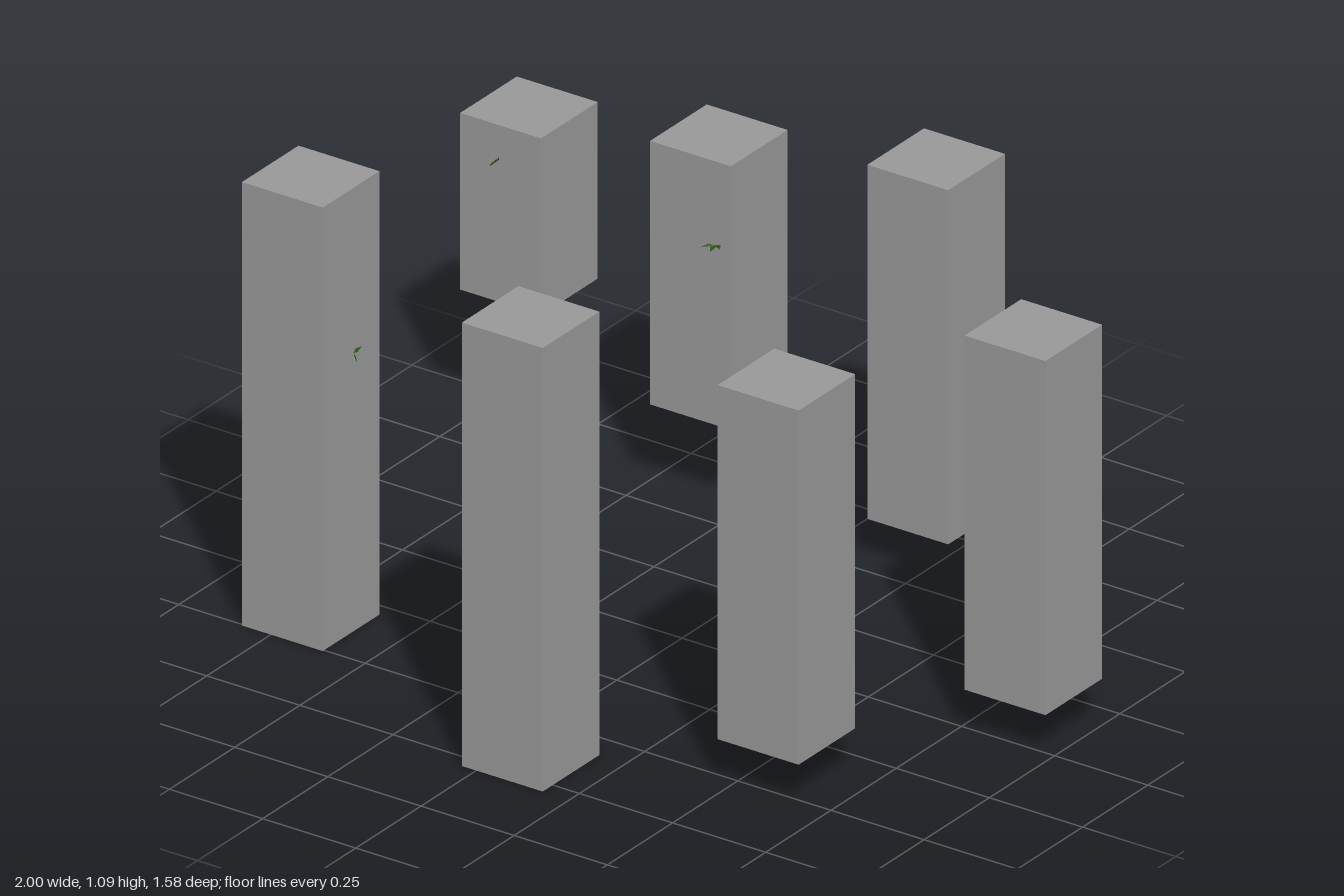
import * as THREE from 'three';

const stone = new THREE.MeshStandardMaterial({ color: 0x999999 });
stone.name = 'stone grey';
const leafGreen = new THREE.MeshStandardMaterial({ color: 0x2c5a16, side: THREE.DoubleSide });
leafGreen.name = 'leaf green';

const SIDE = 0.217;

// Pillars: centre x, centre z, bottom, top
const PILLARS = [
  [-0.891, -0.686, 0.33, 0.765],
  [-0.347, -0.637, 0.225, 0.874],
  [0.236, -0.637, 0.112, 0.984],
  [0.889, -0.077, 0.112, 0.984],
  [0.583, 0.432, 0.112, 0.984],
  [0.07, 0.68, 0, 1.092],
  [-0.719, 0.396, 0, 1.092],
];

// Sprigs: position on the wall, facing about y, roll about the outward axis,
// then the leaves as [sideways angle, length, width]
const SPRIGS = [
  { at: [-0.895, 0.68, -0.578], face: 0, roll: 0.8, leaves: [[-0.35, 0.03, 0.016], [0, 0.038, 0.016], [0.4, 0.028, 0.016]] },
  { at: [-0.28, 0.668, -0.528], face: 0, roll: 0.1, leaves: [[-0.8, 0.034, 0.014], [0.3, 0.037, 0.014], [1.0, 0.028, 0.014]] },
  { at: [0.646, 0.675, 0.324], face: Math.PI, roll: 0.2, leaves: [[-0.9, 0.028, 0.014], [0.1, 0.028, 0.016], [0.9, 0.026, 0.014]] },
  { at: [0.019, 0.557, 0.572], face: Math.PI, roll: 1.35, leaves: [[-0.6, 0.028, 0.013], [0.6, 0.028, 0.013]] },
  { at: [-0.61, 0.685, 0.388], face: Math.PI / 2, roll: 1.1, leaves: [[-0.9, 0.024, 0.01], [0.9, 0.026, 0.01]] },
];

// Folded pointed leaf growing along +z
function leafGeometry(length, width) {
  const w = width / 2, m = length * 0.45, rise = width * 0.25;
  const g = new THREE.BufferGeometry();
  g.setAttribute('position', new THREE.Float32BufferAttribute([
    0, 0, 0, -w, rise, m, 0, 0, length,
    0, 0, 0, 0, 0, length, w, rise, m,
  ], 3));
  g.computeVertexNormals();
  return g;
}

function makeSprig({ at, face, roll, leaves }) {
  const sprig = new THREE.Group();
  sprig.name = 'sprig';
  sprig.position.set(...at);
  sprig.rotation.set(0, face, roll);
  for (const [angle, length, width] of leaves) {
    const leaf = new THREE.Mesh(leafGeometry(length, width), leafGreen);
    leaf.name = 'leaf';
    leaf.rotation.y = angle;
    sprig.add(leaf);
  }
  return sprig;
}

export function createModel() {
  const model = new THREE.Group();
  model.name = 'pillarRing';
  for (const [x, z, bottom, top] of PILLARS) {
    const pillar = new THREE.Mesh(new THREE.BoxGeometry(SIDE, top - bottom, SIDE), stone);
    pillar.name = 'pillar';
    pillar.position.set(x, (bottom + top) / 2, z);
    model.add(pillar);
  }
  for (const spec of SPRIGS) model.add(makeSprig(spec));
  return model;
}
